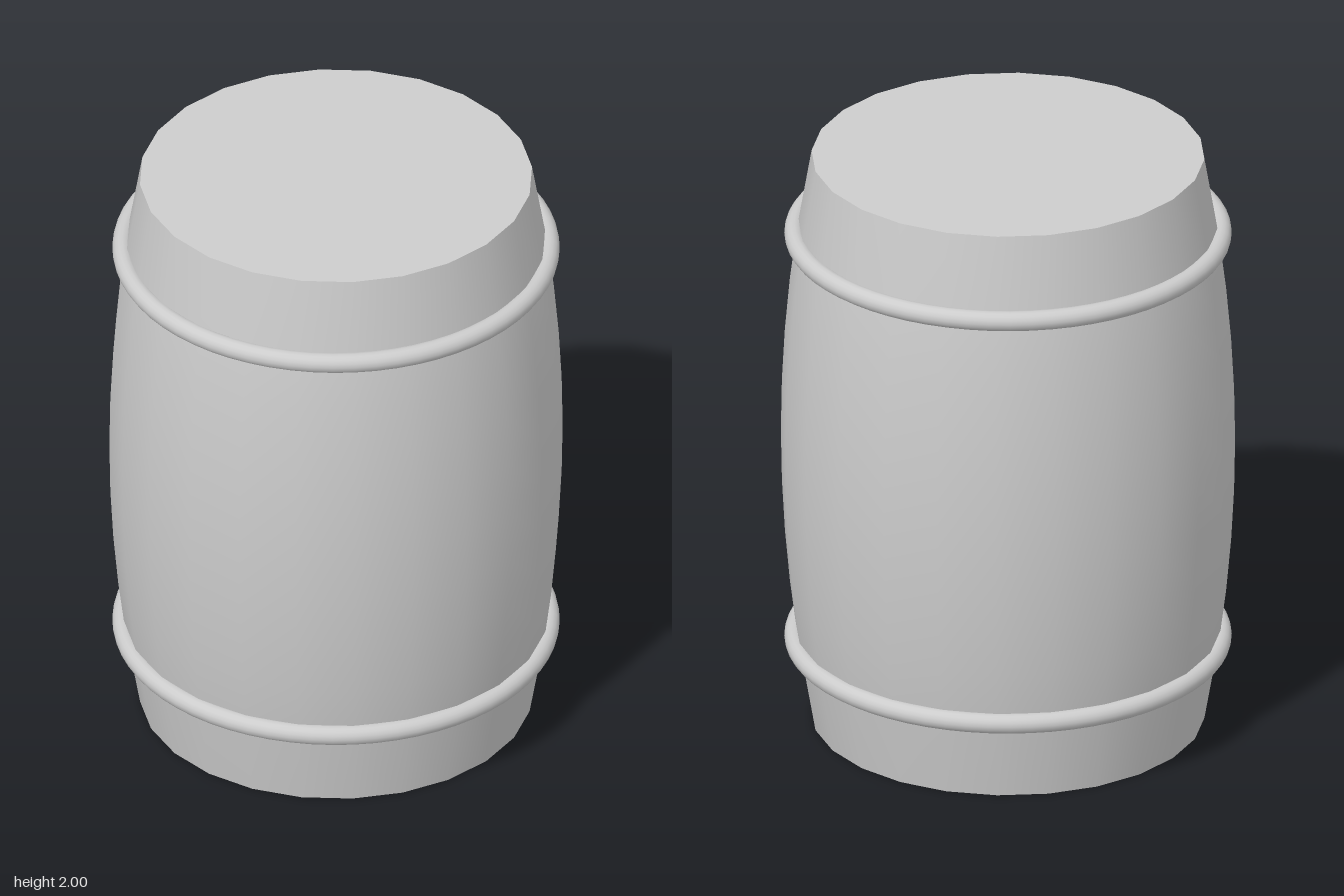
import * as THREE from 'three';

const SIDES = 24;

export function createModel() {
  const barrel = new THREE.Group();
  barrel.name = 'barrel';
  const grey = new THREE.MeshStandardMaterial({ color: 0xcccccc });
  grey.name = 'plain grey';

  const add = (geometry, name, y) => {
    const mesh = new THREE.Mesh(geometry, grey);
    mesh.name = name;
    mesh.position.y = y;
    barrel.add(mesh);
    return mesh;
  };

  // Bulging wall: widest at mid height, tapering to both ends
  const heights = [0, 0.28, 0.46, 0.64, 0.82, 1, 1.18, 1.36, 1.54, 1.72, 2];
  const profile = heights.map((y) => new THREE.Vector2(0.74 - 0.1 * (y - 1) ** 2, y));
  add(new THREE.LatheGeometry(profile, SIDES), 'barrelWall', 0);

  // Flat heads closing the ends
  for (const [name, y, turn] of [['topHead', 2, -1], ['bottomHead', 0, 1]]) {
    add(new THREE.CircleGeometry(0.64, SIDES), name, y).rotation.x = turn * Math.PI / 2;
  }

  // Round hoops
  for (const [name, y] of [['lowerHoop', 0.283], ['upperHoop', 1.724]]) {
    add(new THREE.TorusGeometry(0.695, 0.033, 16, 64), name, y).rotation.x = Math.PI / 2;
  }
  return barrel;
}
